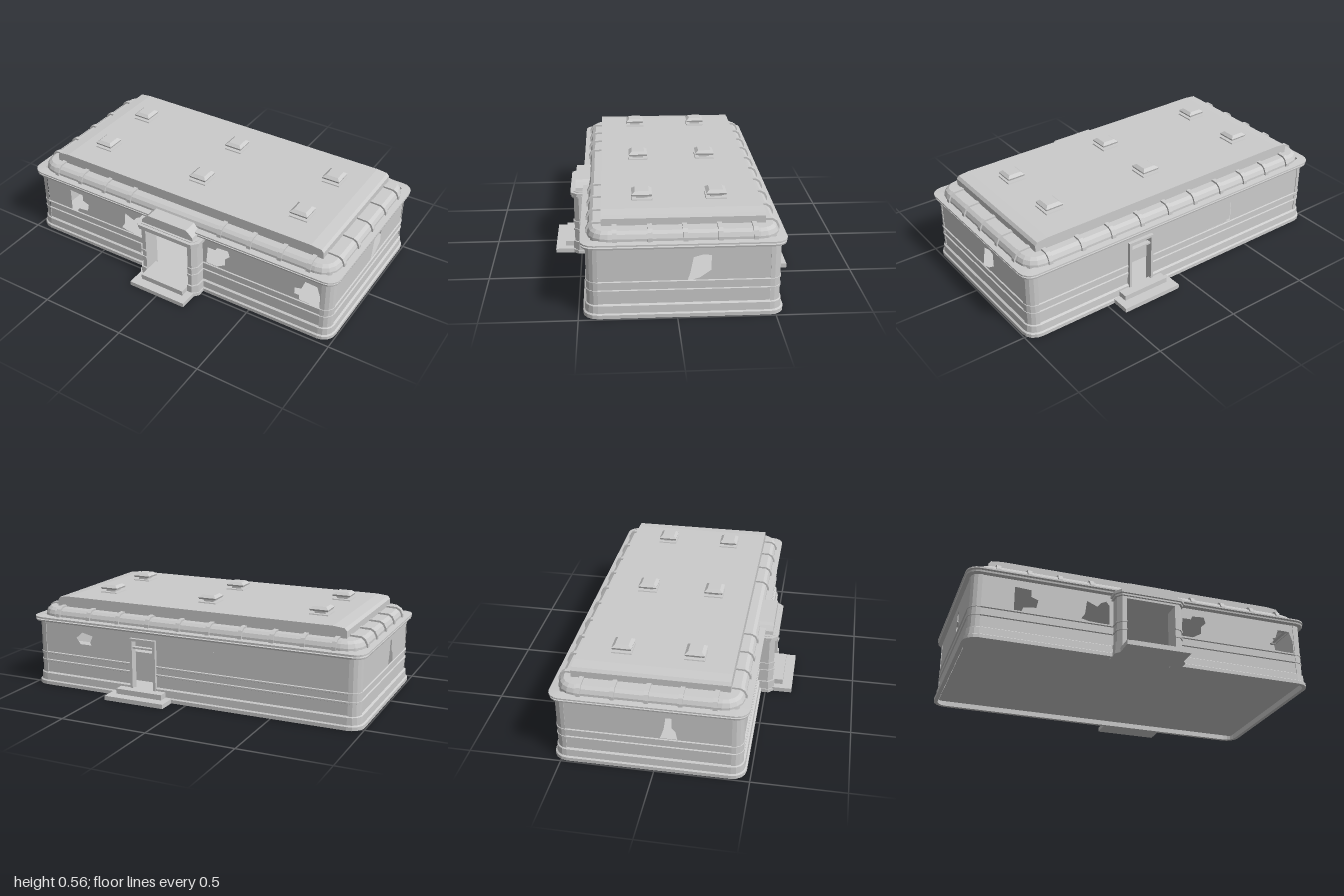
import * as THREE from 'three';

const HX = 0.971, HZ = 0.489, CZ = -0.035, R = 0.055; // wall footprint, centre z, corner radius
const mat = new THREE.MeshStandardMaterial({ color: 0xcccccc, flatShading: true, side: THREE.DoubleSide });

function add(parent, name, geo, x = 0, y = 0, z = 0) {
  const m = new THREE.Mesh(geo, mat);
  m.name = name;
  m.position.set(x, y, z);
  parent.add(m);
  return m;
}

// box given by its limits
function block(parent, name, x0, x1, y0, y1, z0, z1) {
  return add(parent, name, new THREE.BoxGeometry(x1 - x0, y1 - y0, z1 - z0),
    (x0 + x1) / 2, (y0 + y1) / 2, (z0 + z1) / 2);
}

// rounded corner of the footprint as [x, z, normalX, normalZ]
function corner(i, r = R) {
  const sx = i < 2 ? 1 : -1, sz = i === 0 || i === 3 ? 1 : -1, pts = [];
  for (let k = 0; k <= 4; k++) {
    const t = (i + k / 4) * Math.PI / 2, nx = Math.sin(t), nz = Math.cos(t);
    pts.push([sx * (HX - r) + nx * r, CZ + sz * (HZ - r) + nz * r, nx, nz]);
  }
  return pts;
}

// closed path around the footprint
function ring(r) {
  return [...corner(0, r), ...corner(1, r), ...corner(2, r), ...corner(3, r), corner(0, r)[0]];
}

// carries a profile of [offset, y] along a path
function sweep(path, profile) {
  const pos = [], idx = [], n = profile.length;
  for (const [x, z, nx, nz] of path)
    for (const [o, y] of profile) pos.push(x + nx * o, y, z + nz * o);
  for (let i = 0; i < path.length - 1; i++)
    for (let j = 0; j < n - 1; j++) {
      const a = i * n + j, b = a + n;
      idx.push(a, b, b + 1, a, b + 1, a + 1);
    }
  const g = new THREE.BufferGeometry();
  g.setAttribute('position', new THREE.Float32BufferAttribute(pos, 3));
  g.setIndex(idx);
  g.computeVertexNormals();
  return g;
}

const outline = pts => new THREE.Shape(pts.map(p => new THREE.Vector2(p[0], p[1])));

// plan polygon of [x, z] raised between two heights
function prism(pts, y0, y1) {
  const g = new THREE.ExtrudeGeometry(outline(pts.map(([x, z]) => [x, -z])),
    { depth: y1 - y0, bevelEnabled: false });
  return g.rotateX(-Math.PI / 2).translate(0, y0, 0);
}

export function createModel() {
  const model = new THREE.Group();
  model.name = 'diner';

  // thin walls with broken window holes and door openings
  const frontHoles = [
    [[-0.74, 0.195], [-0.7, 0.195], [-0.69, 0.22], [-0.62, 0.23], [-0.61, 0.275], [-0.65, 0.29], [-0.65, 0.33], [-0.74, 0.335]],
    [[-0.37, 0.21], [-0.33, 0.2], [-0.21, 0.195], [-0.21, 0.31], [-0.23, 0.335], [-0.26, 0.32], [-0.28, 0.295], [-0.34, 0.32], [-0.35, 0.24]],
    [[0.21, 0.2], [0.28, 0.2], [0.33, 0.23], [0.33, 0.27], [0.36, 0.3], [0.35, 0.335], [0.28, 0.33], [0.27, 0.31], [0.22, 0.31]],
    [[0.79, 0.2], [0.91, 0.195], [0.91, 0.27], [0.89, 0.33], [0.82, 0.335], [0.8, 0.28], [0.76, 0.27], [0.76, 0.23], [0.79, 0.23]],
    [[-0.14, 0.03], [0.14, 0.03], [0.14, 0.33], [-0.14, 0.33]],
  ];
  const backHoles = [ // x mirrored
    [[-0.7, 0.2], [-0.62, 0.2], [-0.6, 0.25], [-0.62, 0.28], [-0.6, 0.32], [-0.67, 0.335], [-0.71, 0.3], [-0.68, 0.26]],
    [[0.2, 0.2], [0.39, 0.2], [0.39, 0.32], [0.3, 0.335], [0.26, 0.3], [0.16, 0.32], [0.17, 0.28], [0.2, 0.25]],
    [[-0.34, 0.03], [-0.2, 0.03], [-0.2, 0.34], [-0.34, 0.34]],
  ];
  const leftHoles = [[[0.015, 0.19], [0.08, 0.21], [0.1, 0.225], [0.135, 0.25], [0.135, 0.33], [0.095, 0.335], [0.045, 0.32], [0.03, 0.24]]];
  const rightHoles = [[[0.065, 0.2], [0.155, 0.2], [0.145, 0.25], [0.125, 0.27], [0.125, 0.33], [0.095, 0.33], [0.085, 0.26]]];
  function wall(name, half, dist, angle, holes) {
    const s = outline([[-half, 0.02], [half, 0.02], [half, 0.4], [-half, 0.4]]);
    for (const h of holes) s.holes.push(new THREE.Path(outline(h).getPoints()));
    add(model, name, new THREE.ShapeGeometry(s).translate(0, 0, dist).rotateY(angle), 0, 0, CZ);
  }
  wall('frontWall', HX - R, HZ, 0, frontHoles);
  wall('backWall', HX - R, HZ, Math.PI, backHoles);
  wall('leftWall', HZ - R, HX, Math.PI / 2, leftHoles);
  wall('rightWall', HZ - R, HX, -Math.PI / 2, rightHoles);
  for (let i = 0; i < 4; i++)
    add(model, 'cornerColumn', sweep(corner(i), [[0, 0.02], [0.004, 0.02], [0.004, 0.4], [0, 0.4]]));

  // plinth and trim strips, interrupted by the two doors
  const F = CZ + HZ, B = CZ - HZ;
  const runs = [
    [[0.19, F, 0, 1], ...corner(0), ...corner(1), [0.35, B, 0, -1]],
    [[0.19, B, 0, -1], ...corner(2), ...corner(3), [-0.19, F, 0, 1]],
  ];
  const strip = y => [[0, y - 0.007], [0.007, y - 0.004], [0.007, y + 0.004], [0, y + 0.007]];
  const plinth = [[0, 0.025], [0, 0], [0.022, 0], [0.022, 0.02], [0.013, 0.026], [0.011, 0.066], [0, 0.073]];
  for (const run of runs) {
    add(model, 'plinth', sweep(run, plinth));
    add(model, 'lowerTrim', sweep(run, strip(0.143)));
    add(model, 'upperTrim', sweep(run, strip(0.19)));
  }

  // stepped cornice and curved roof edge
  add(model, 'cornice', sweep(ring(0.04), [[0, 0.376], [0.024, 0.38], [0.026, 0.389], [0.014, 0.391],
    [0.014, 0.395], [0.029, 0.398], [0.029, 0.406], [-0.025, 0.411]]));
  const cove = [[-0.006, 0.4], [-0.007, 0.422], [-0.017, 0.443], [-0.035, 0.456], [-0.105, 0.459]];
  add(model, 'roofEdge', sweep(ring(0.11), cove));

  // ribs over the roof edge
  const ribShape = outline([[-0.095, 0.405], [0.003, 0.405], [0.002, 0.427], [-0.011, 0.453], [-0.032, 0.466], [-0.095, 0.468]]);
  const ribGeo = new THREE.ExtrudeGeometry(ribShape, { depth: 0.024, bevelEnabled: false }).translate(0, 0, -0.012);
  function rib(x, z, angle) {
    add(model, 'roofRib', ribGeo, x, 0, z).rotation.y = angle;
  }
  for (const x of [-0.83, -0.66, -0.49, -0.31, -0.12, 0.06, 0.25, 0.44, 0.63, 0.83]) rib(x, B, Math.PI / 2);
  for (const x of [-0.83, -0.66, -0.49, -0.31, 0.29, 0.475, 0.66, 0.83]) rib(x, F, -Math.PI / 2);
  for (let i = 0; i < 5; i++) {
    const z = -0.39 + i * 0.175;
    rib(HX, z, 0);
    rib(-HX, z, Math.PI);
  }

  // raised roof with eased ends; its underside is the ceiling
  const top = outline([[-0.875, 0.457], [0.875, 0.457], [0.875, 0.495], [0.862, 0.511],
    [0.8, 0.518], [-0.8, 0.518], [-0.862, 0.511], [-0.875, 0.495]]);
  add(model, 'raisedRoof', new THREE.ExtrudeGeometry(top, { depth: 0.826, bevelEnabled: false }), 0, 0, -0.45);

  // roof vents
  function frustum(top, bottom, h) {
    return new THREE.CylinderGeometry(top * Math.SQRT2, bottom * Math.SQRT2, h, 4).rotateY(Math.PI / 4);
  }
  for (const x of [-0.66, 0, 0.64]) for (const z of [-0.22, 0.165]) {
    const vent = new THREE.Group();
    vent.name = 'roofVent';
    vent.position.set(x, 0.516, z);
    add(vent, 'ventFlange', frustum(0.053, 0.055, 0.008), 0, 0.004);
    add(vent, 'ventNeck', frustum(0.03, 0.03, 0.02), 0, 0.016);
    add(vent, 'ventBrim', frustum(0.053, 0.05, 0.01), 0, 0.028);
    add(vent, 'ventCap', frustum(0.036, 0.053, 0.014), 0, 0.04);
    model.add(vent);
  }

  // front entrance bay
  const bay = new THREE.Group();
  bay.name = 'entranceBay';
  const pier = (s, g) => [[0.14, F - 0.02], [0.187 + g, F - 0.02], [0.187 + g, 0.51 + g * 0.5], [0.165 + g * 0.5, 0.538 + g], [0.14, 0.538 + g]]
    .map(([x, z]) => [x * s, z]);
  for (const s of [-1, 1]) {
    add(bay, 'entrancePier', prism(pier(s, 0), 0, 0.36));
    add(bay, 'pierFoot', prism(pier(s, 0.015), 0, 0.02));
    add(bay, 'pierPlinth', prism(pier(s, 0.009), 0.02, 0.07));
    for (const y of [0.143, 0.19]) add(bay, 'pierTrim', prism(pier(s, 0.006), y - 0.005, y + 0.005));
  }
  const full = g => [...pier(1, g).slice(1), ...pier(-1, g).slice(1).reverse()];
  add(bay, 'entranceLintel', prism(full(0), 0.33, 0.375));
  add(bay, 'entranceCornice', prism(full(0.012), 0.342, 0.352));
  add(bay, 'entranceCornice', prism(full(0.018), 0.356, 0.372));
  const hood = outline([[-0.17, 0.37], [0.17, 0.37], [0.165, 0.395], [0.14, 0.42], [0.125, 0.432],
    [-0.125, 0.432], [-0.14, 0.42], [-0.165, 0.395]]);
  add(bay, 'entranceHood', new THREE.ExtrudeGeometry(hood, { depth: 0.1, bevelEnabled: false }), 0, 0, 0.425);
  block(bay, 'entranceLowerStep', -0.18, 0.18, 0, 0.025, F, 0.65);
  block(bay, 'entranceUpperStep', -0.139, 0.139, 0.02, 0.055, F, 0.595);
  model.add(bay);

  // back door frame and steps
  const door = new THREE.Group();
  door.name = 'backDoor';
  for (const x of [0.19, 0.335]) block(door, 'doorJamb', x, x + 0.015, 0.03, 0.34, -0.543, -0.5);
  block(door, 'doorHead', 0.19, 0.35, 0.328, 0.342, -0.543, -0.5);
  block(door, 'doorTransom', 0.2, 0.34, 0.283, 0.293, -0.535, -0.51);
  block(door, 'backLowerStep', 0.09, 0.455, 0, 0.025, -0.65, B);
  block(door, 'backUpperStep', 0.13, 0.415, 0.02, 0.055, -0.59, B);
  model.add(door);

  // floor, serving counters and the panel behind the rear window
  add(model, 'floor', new THREE.PlaneGeometry(2 * HX - 0.02, 2 * HZ - 0.02).rotateX(-Math.PI / 2), 0, 0.025, CZ);
  block(model, 'servingCounter', 0.05, 0.84, 0.026, 0.19, -0.01, 0.05);
  block(model, 'counterReturn', 0.05, 0.11, 0.026, 0.19, -0.17, -0.01);
  block(model, 'counterTop', 0.03, 0.86, 0.19, 0.2, -0.03, 0.07);
  block(model, 'backCounter', -0.55, 0.86, 0.026, 0.2, -0.33, -0.27);
  block(model, 'rearWindowPanel', -0.41, -0.15, 0.19, 0.36, -0.5, -0.495);
  return model;
}
